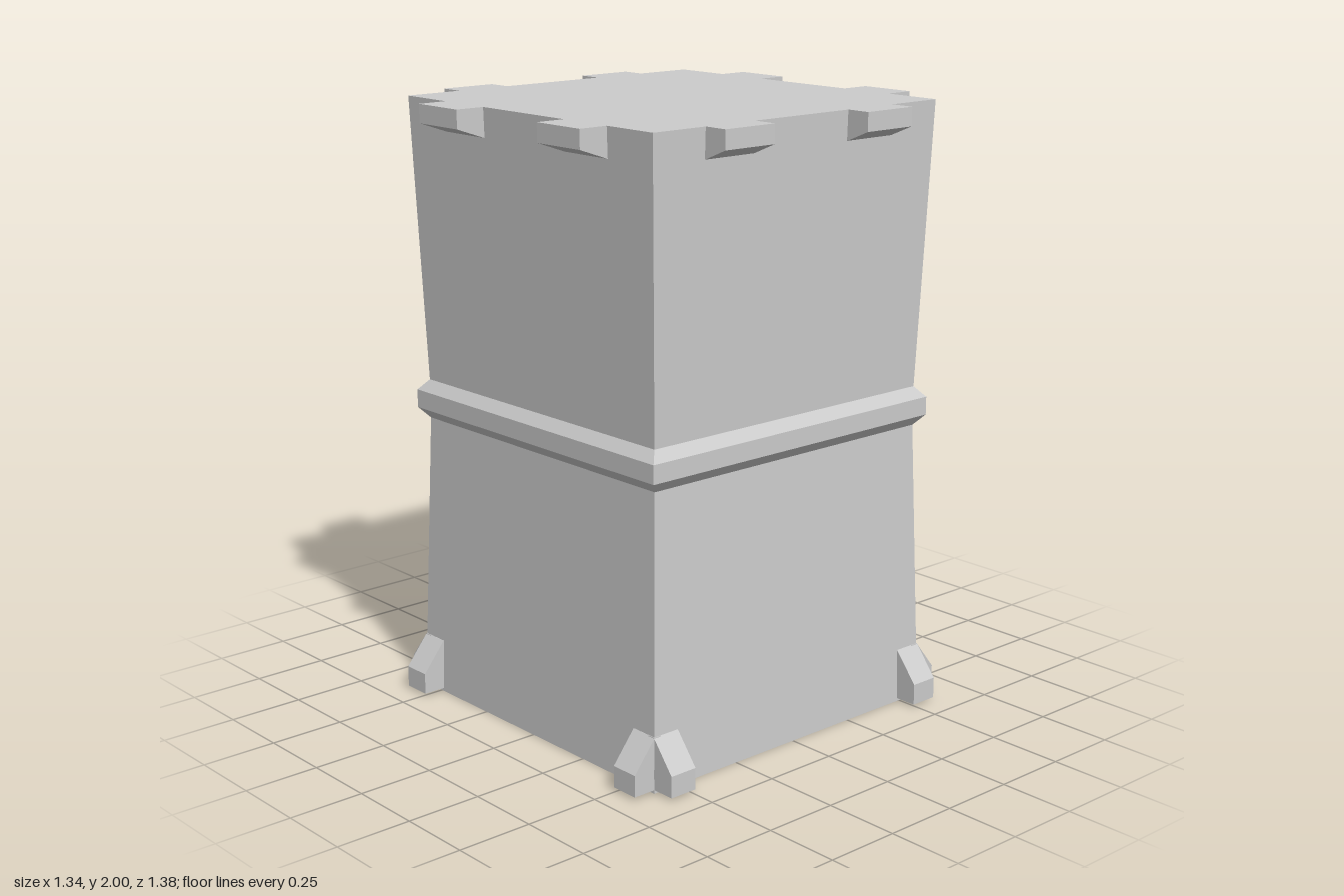
import * as THREE from 'three';

const material = new THREE.MeshStandardMaterial({ color: 0xcccccc, flatShading: true });

// Square frustum between two heights, given half widths
function squareSection(name, y0, half0, y1, half1, open) {
  const g = new THREE.CylinderGeometry(half1 * Math.SQRT2, half0 * Math.SQRT2, y1 - y0, 4, 1, open);
  g.rotateY(Math.PI / 4).translate(0, (y0 + y1) / 2, 0);
  const mesh = new THREE.Mesh(g, material);
  mesh.name = name;
  return mesh;
}

// Block with an (outward, up) profile, spanning z0..z1 along the wall
function wallBlock(name, profile, z0, z1) {
  const shape = new THREE.Shape(profile.map(([x, y]) => new THREE.Vector2(x, y)));
  const g = new THREE.ExtrudeGeometry(shape, { depth: z1 - z0, bevelEnabled: false });
  g.translate(0, 0, z0);
  const mesh = new THREE.Mesh(g, material);
  mesh.name = name;
  return mesh;
}

export function createModel() {
  const model = new THREE.Group();
  model.name = 'tower';

  // Walls, pinched towards the middle
  model.add(squareSection('lowerWall', 0, 0.59, 0.94, 0.56, false));
  model.add(squareSection('upperWall', 1.07, 0.56, 2, 0.59, false));

  // Bevelled band around the waist
  const band = new THREE.Group();
  band.name = 'waistBand';
  band.add(squareSection('bandUnderside', 0.94, 0.56, 0.975, 0.59, true));
  band.add(squareSection('bandFace', 0.975, 0.59, 1.035, 0.59, true));
  band.add(squareSection('bandTop', 1.035, 0.59, 1.07, 0.56, true));
  model.add(band);

  // Each wall carries two top brackets and two corner feet
  for (let k = 0; k < 4; k++) {
    const side = new THREE.Group();
    side.name = 'sideTrim' + (k + 1);
    const reach = k % 2 ? 0.69 : 0.672;
    const bracket = [[0.57, 1.9], [0.588, 1.905], [reach, 1.94], [reach, 2], [0.57, 2]];
    const foot = [[0.56, 0.01], [0.665, 0.01], [0.665, 0.08], [0.585, 0.18], [0.56, 0.18]];
    for (const s of [-1, 1]) {
      const span = (a, b) => (s > 0 ? [a, b] : [-b, -a]);
      side.add(wallBlock('topBracket', bracket, ...span(0.195, 0.39)));
      side.add(wallBlock('cornerFoot', foot, ...span(0.49, 0.587)));
    }
    side.rotation.y = (k * Math.PI) / 2;
    model.add(side);
  }
  return model;
}
